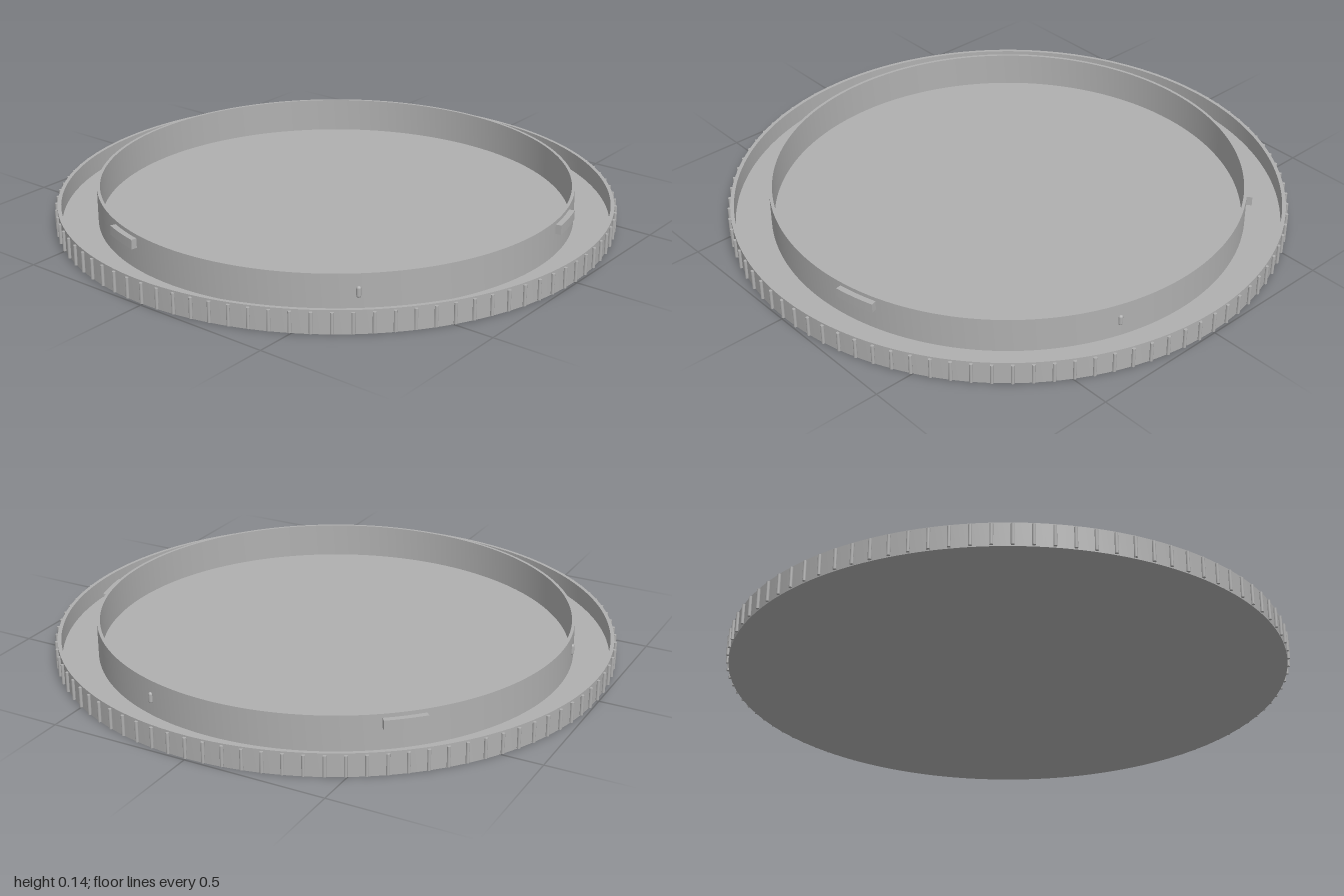
import * as THREE from 'three';
import { mergeGeometries, toCreasedNormals } from 'three/addons/utils/BufferGeometryUtils.js';

const BASE_R = 0.99, RIM_INNER = 0.977, RIM_TOP = 0.082, FLOOR = 0.013;
const RING_R = 0.85, RING_INNER = 0.839, RING_TOP = 0.139;

// Revolve a profile, keeping its corners sharp
function turned(profile) {
  const points = profile.map(([r, y]) => new THREE.Vector2(r, y));
  return toCreasedNormals(new THREE.LatheGeometry(points, 192), 0.5);
}

// Curved tab centred on +x, extruded upward
function tabGeometry(inner, outer, halfAngle, height) {
  const shape = new THREE.Shape();
  shape.absarc(0, 0, outer, -halfAngle, halfAngle, false);
  shape.absarc(0, 0, inner, halfAngle, -halfAngle, true);
  const geometry = new THREE.ExtrudeGeometry(shape, { depth: height, bevelEnabled: false, curveSegments: 8 });
  return geometry.rotateX(-Math.PI / 2);
}

export function createModel() {
  const model = new THREE.Group();
  model.name = 'cap';
  const plastic = new THREE.MeshStandardMaterial({ color: 0xb0b0b0 });
  plastic.name = 'grey plastic';

  function add(name, geometry, parent = model) {
    const mesh = new THREE.Mesh(geometry, plastic);
    mesh.name = name;
    parent.add(mesh);
    return mesh;
  }

  // Shallow dish with a thin upright rim
  add('dish', turned([
    [0, 0], [BASE_R, 0], [BASE_R, RIM_TOP], [RIM_INNER, RIM_TOP], [RIM_INNER, FLOOR], [0, FLOOR],
  ]));

  // Taller locking ring standing on the floor
  add('lockingRing', turned([
    [RING_R, FLOOR - 0.005], [RING_R, RING_TOP], [RING_INNER, RING_TOP], [RING_INNER, FLOOR - 0.005],
  ]));

  // Fine rounded grip ribs around the rim
  const ribs = [];
  const ribCount = 96;
  for (let i = 0; i < ribCount; i++) {
    const a = (i / ribCount) * Math.PI * 2;
    const rib = new THREE.CylinderGeometry(0.006, 0.006, 0.072, 10);
    ribs.push(rib.translate(0.994, 0.04, 0).rotateY(a));
  }
  add('gripRibs', mergeGeometries(ribs));

  // Three bayonet tabs, with a small stop pin between each pair
  const tab = tabGeometry(RING_R - 0.005, 0.87, THREE.MathUtils.degToRad(4.9), 0.034);
  const pin = new THREE.CapsuleGeometry(0.008, 0.024, 5, 12);
  for (let i = 0; i < 3; i++) {
    const lock = new THREE.Group();
    lock.name = 'lock' + (i + 1);
    lock.rotation.y = -THREE.MathUtils.degToRad(107 + i * 120);
    model.add(lock);
    add('bayonetTab', tab, lock).position.y = 0.091;

    const pinHolder = new THREE.Group();
    pinHolder.name = 'stopPinHolder';
    pinHolder.rotation.y = -Math.PI / 3;
    lock.add(pinHolder);
    add('stopPin', pin, pinHolder).position.set(RING_R, 0.076, 0);
  }

  return model;
}
